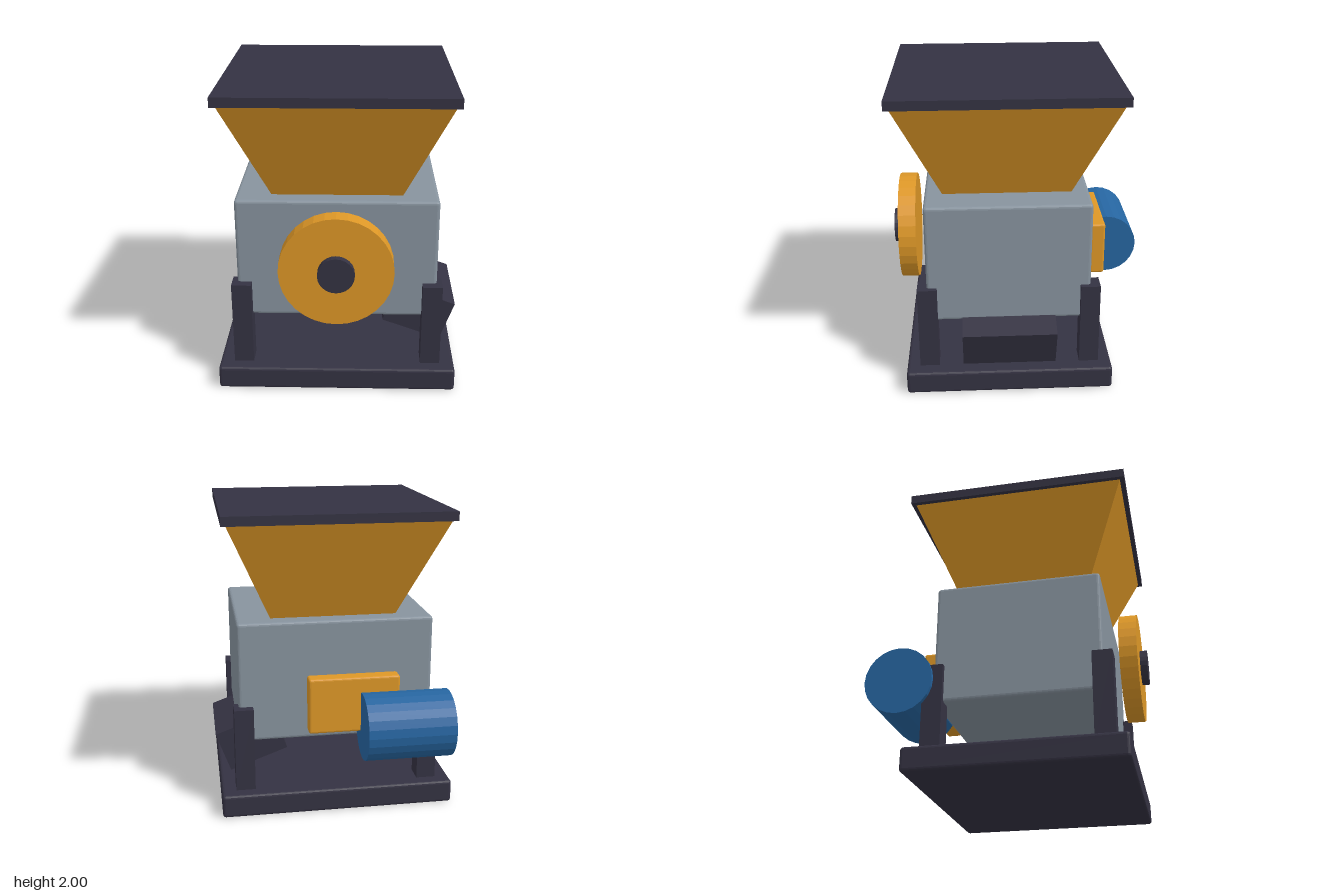
import * as THREE from 'three';
import { RoundedBoxGeometry } from 'three/addons/geometries/RoundedBoxGeometry.js';

const CX = -0.013, CZ = 0.103; // centre of the frame, body and hopper

function material(name, color, flat = false) {
  const m = new THREE.MeshStandardMaterial({ color, flatShading: flat });
  m.name = name;
  return m;
}

export function createModel() {
  const root = new THREE.Group();
  root.name = 'hopperMachine';

  const dark = material('charcoal', 0x343242, true);
  const orange = material('orange', 0xdd9727, true);
  const grey = material('steelGrey', 0x87939e, true);
  const blue = material('motorBlue', 0x2665a0, true);

  const add = (name, geometry, mat, x, y, z) => {
    const mesh = new THREE.Mesh(geometry, mat);
    mesh.name = name;
    mesh.position.set(x, y, z);
    root.add(mesh);
    return mesh;
  };
  const box = (w, h, d) => new THREE.BoxGeometry(w, h, d);
  const rounded = (w, h, d, r = 0.02) => new RoundedBoxGeometry(w, h, d, 2, r);

  // Base plate and main housing
  add('base', rounded(1.556, 0.155, 1.366), dark, CX, 0.0775, CZ);
  add('housing', rounded(1.294, 0.806, 1.07), grey, CX, 0.882, CZ);

  // Four corner legs
  for (const sx of [-1, 1]) {
    for (const sz of [-1, 1]) {
      add('leg', box(0.128, 0.58, 0.128), dark, CX + sx * 0.617, 0.43, CZ + sz * 0.532);
    }
  }

  // Square funnel and its lid
  const funnel = new THREE.CylinderGeometry(0.704 * Math.SQRT2, 0.417 * Math.SQRT2, 0.665, 4);
  funnel.rotateY(Math.PI / 4);
  add('hopper', funnel, orange, CX, 1.6125, CZ);
  add('hopperLid', box(1.462, 0.06, 1.462), dark, CX, 1.97, CZ);

  // Flywheel and hub on the front
  const wheel = new THREE.CylinderGeometry(0.364, 0.364, 0.116, 32).rotateX(Math.PI / 2);
  add('flywheel', wheel, orange, CX, 0.883, 0.769);
  const hub = new THREE.CylinderGeometry(0.117, 0.117, 0.14, 24).rotateX(Math.PI / 2);
  add('flywheelHub', hub, dark, CX, 0.883, 0.803);

  // Motor and belt guard on the back
  const motor = new THREE.CylinderGeometry(0.221, 0.221, 0.571, 24).rotateZ(Math.PI / 2);
  add('motor', motor, blue, -0.4365, 0.622, -0.645);
  add('beltGuard', rounded(0.6, 0.374, 0.102, 0.015), orange, -0.11, 0.752, -0.535);

  // Tilted discharge chute
  const chute = add('dischargeChute', box(0.42, 0.287, 0.615), dark, 0.54, 0.3785, CZ);
  chute.rotation.z = -0.35;

  return root;
}
